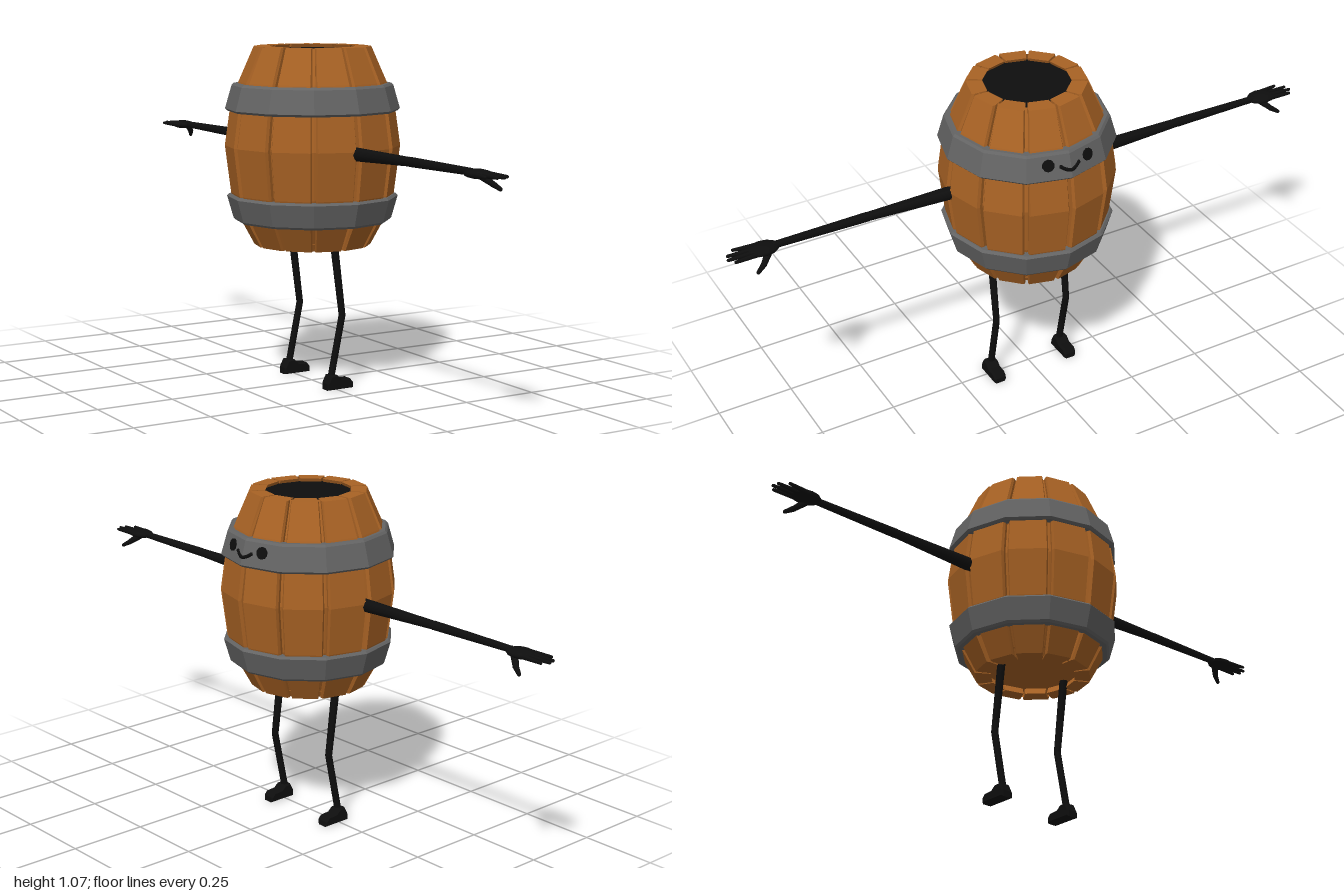
import * as THREE from 'three';

const wood = new THREE.MeshStandardMaterial({ color: 0xa86224, flatShading: true, side: THREE.DoubleSide });
wood.name = 'wood';
const iron = new THREE.MeshStandardMaterial({ color: 0x646464, flatShading: true });
iron.name = 'iron';
const black = new THREE.MeshStandardMaterial({ color: 0x0e0e0e });
black.name = 'black';

const V = (x, y, z) => new THREE.Vector3(x, y, z);
const CENTRE_Z = 0.005;
const STAVES = 12;
// barrel profile: [radius, height]
const PROFILE = [[0.184, 0.445], [0.23, 0.53], [0.257, 0.61], [0.276, 0.76], [0.259, 0.88], [0.232, 0.96], [0.184, 1.07]];

function add(parent, name, geometry, material) {
  const m = new THREE.Mesh(geometry, material);
  m.name = name;
  parent.add(m);
  return m;
}

// one plank: a bevelled cross-section swept up the barrel profile
function staveGeometry() {
  const section = [[-13.7, 0.05], [-13.7, 0.009], [-12.5, 0], [12.5, 0], [13.7, 0.009], [13.7, 0.05]];
  const n = section.length;
  const pos = [];
  const idx = [];
  for (const [r, y] of PROFILE) {
    for (const [deg, depth] of section) {
      const a = THREE.MathUtils.degToRad(deg);
      pos.push((r - depth) * Math.sin(a), y, (r - depth) * Math.cos(a));
    }
  }
  for (let k = 0; k < PROFILE.length - 1; k++) {
    for (let i = 0; i < n; i++) {
      const a = k * n + i;
      const b = k * n + (i + 1) % n;
      idx.push(a, b, b + n, a, b + n, a + n);
    }
  }
  const top = (PROFILE.length - 1) * n;
  for (let i = 1; i < n - 1; i++) {
    idx.push(0, i + 1, i, top, top + i, top + i + 1);
  }
  const g = new THREE.BufferGeometry();
  g.setAttribute('position', new THREE.Float32BufferAttribute(pos, 3));
  g.setIndex(idx);
  const flat = g.toNonIndexed();
  flat.computeVertexNormals();
  return flat;
}

// bevelled iron band between two heights
function hoopGeometry(r0, y0, r1, y1) {
  const b = 0.007;
  const pts = [[r0 - 0.03, y0], [r0 - b, y0], [r0, y0 + b], [r1, y1 - b], [r1 - b, y1], [r1 - 0.03, y1], [r0 - 0.03, y0]];
  return new THREE.LatheGeometry(pts.map(p => new THREE.Vector2(...p)), STAVES);
}

// tapered limb segment with a rounded far joint
function bone(parent, name, a, b, ra, rb) {
  const dir = b.clone().sub(a);
  const m = add(parent, name, new THREE.CylinderGeometry(rb, ra, dir.length(), 8), black);
  m.position.copy(a).add(b).multiplyScalar(0.5);
  m.quaternion.setFromUnitVectors(V(0, 1, 0), dir.normalize());
  const joint = add(parent, name + 'Joint', new THREE.SphereGeometry(rb, 8, 6), black);
  joint.position.copy(b);
}

function makeBarrel() {
  const barrel = new THREE.Group();
  barrel.name = 'barrel';
  const stave = staveGeometry();
  for (let i = 0; i < STAVES; i++) {
    add(barrel, 'stave', stave, wood).rotation.y = (i + 0.5) * Math.PI * 2 / STAVES;
  }
  // groove floor behind the staves
  const core = PROFILE.map(([r, y]) => new THREE.Vector2(r - 0.022, y));
  add(barrel, 'grooveLining', new THREE.LatheGeometry(core, 24), wood);
  const opening = add(barrel, 'opening', new THREE.CircleGeometry(0.145, 24), black);
  opening.rotation.x = -Math.PI / 2;
  opening.position.y = 1.06;
  const base = add(barrel, 'base', new THREE.CircleGeometry(0.18, 24), wood);
  base.rotation.x = Math.PI / 2;
  base.position.y = 0.468;
  add(barrel, 'upperHoop', hoopGeometry(0.275, 0.868, 0.254, 0.955), iron);
  add(barrel, 'lowerHoop', hoopGeometry(0.25, 0.522, 0.27, 0.606), iron);
  return barrel;
}

// point on the upper hoop, which carries the face on the +x side
function onHoop(y, z) {
  const r = THREE.MathUtils.lerp(0.275, 0.254, (y - 0.868) / 0.087);
  const x = r - Math.abs(z) * Math.tan(Math.PI / 12);
  return V(x, y, z);
}

function makeFace() {
  const face = new THREE.Group();
  face.name = 'face';
  for (const s of [1, -1]) {
    const eye = add(face, 'eye', new THREE.CylinderGeometry(0.019, 0.019, 0.009, 10), black);
    eye.position.copy(onHoop(0.92, s * 0.067));
    eye.quaternion.setFromUnitVectors(V(0, 1, 0), V(1, 0.23, s * 0.268).normalize());
  }
  const smile = [-0.03, -0.018, 0, 0.018, 0.03].map(z => onHoop(0.899 + 14 * z * z, z));
  add(face, 'mouth', new THREE.TubeGeometry(new THREE.CatmullRomCurve3(smile), 16, 0.006, 6), black);
  for (const p of [smile[0], smile[4]]) {
    add(face, 'mouthCorner', new THREE.SphereGeometry(0.006, 8, 6), black).position.copy(p);
  }
  return face;
}

function makeArm(s) {
  const arm = new THREE.Group();
  arm.name = s > 0 ? 'frontSideArm' : 'backSideArm';
  const elbow = V(0, 0.757, s * 0.55);
  const wrist = V(0, 0.758, s * 0.85);
  bone(arm, 'upperArm', V(0, 0.752, s * 0.24), elbow, 0.022, 0.014);
  bone(arm, 'forearm', elbow, wrist, 0.015, 0.011);
  const palm = add(arm, 'palm', new THREE.SphereGeometry(1, 12, 8), black);
  palm.scale.set(0.037, 0.014, 0.05);
  palm.position.set(-0.002, 0.756, s * 0.885);
  // fingers: knuckle x, tip x, tip z
  for (const [x0, x1, z] of [[-0.026, -0.037, 0.965], [-0.011, -0.015, 0.99], [0.004, 0.005, 0.995], [0.018, 0.025, 0.98]]) {
    bone(arm, 'finger', V(x0, 0.756, s * 0.895), V(x1, 0.756, s * z), 0.009, 0.005);
  }
  bone(arm, 'thumb', V(0.012, 0.752, s * 0.872), V(0.036, 0.728, s * 0.9), 0.012, 0.009);
  bone(arm, 'thumbTip', V(0.036, 0.728, s * 0.9), V(0.047, 0.714, s * 0.923), 0.009, 0.006);
  return arm;
}

function makeLeg(s) {
  const leg = new THREE.Group();
  leg.name = s > 0 ? 'frontSideLeg' : 'backSideLeg';
  const z = s * 0.13;
  const knee = V(0.03, 0.232, z);
  bone(leg, 'thigh', V(-0.002, 0.475, z), knee, 0.013, 0.011);
  bone(leg, 'shin', knee, V(-0.01, 0.04, z), 0.011, 0.011);
  // shoe: side outline given a bevelled width
  const outline = [[-0.031, 0.004], [0.056, 0.004], [0.056, 0.016], [0.046, 0.027], [0.015, 0.029], [0, 0.042], [-0.02, 0.042], [-0.031, 0.02]];
  const shape = new THREE.Shape(outline.map(p => new THREE.Vector2(...p)));
  const foot = add(leg, 'foot', new THREE.ExtrudeGeometry(shape, {
    depth: 0.03, bevelEnabled: true, bevelThickness: 0.006, bevelSize: 0.004, bevelSegments: 1,
  }), black);
  foot.position.z = z + s * 0.003 - 0.015;
  return leg;
}

export function createModel() {
  const model = new THREE.Group();
  model.name = 'barrelFigure';
  const body = new THREE.Group();
  body.name = 'body';
  body.position.z = CENTRE_Z;
  body.add(makeBarrel(), makeFace(), makeLeg(1), makeLeg(-1));
  model.add(body, makeArm(1), makeArm(-1));
  return model;
}
